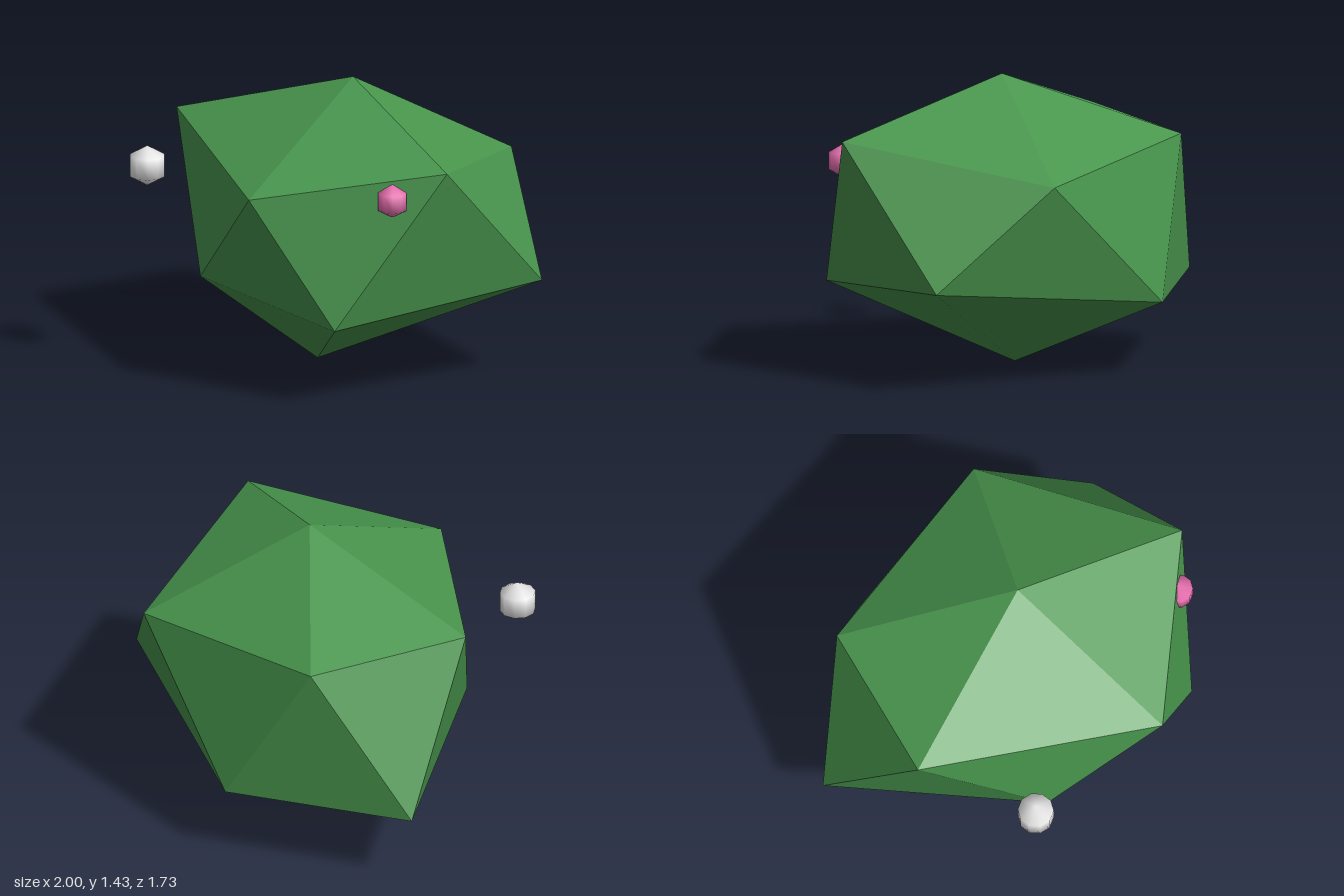
import * as THREE from 'three';

// Closed faceted body: top point, upper ring, lower ring, bottom point
function facetedBody(top, upper, lower, bottom) {
  const pos = [];
  const n = upper.length;
  for (let i = 0; i < n; i++) {
    const j = (i + 1) % n;
    pos.push(...top, ...upper[i], ...upper[j]);
    pos.push(...upper[i], ...lower[i], ...upper[j]);
    pos.push(...upper[j], ...lower[i], ...lower[j]);
    pos.push(...bottom, ...lower[j], ...lower[i]);
  }
  const g = new THREE.BufferGeometry();
  g.setAttribute('position', new THREE.Float32BufferAttribute(pos, 3));
  g.computeVertexNormals();
  return g;
}

export function createModel() {
  const group = new THREE.Group();
  group.name = 'bush';

  const leafGreen = new THREE.MeshStandardMaterial({ color: 0x48954d, flatShading: true });
  leafGreen.name = 'leaf green';
  const white = new THREE.MeshStandardMaterial({ color: 0xe8e8e8 });
  white.name = 'blossom white';
  const pink = new THREE.MeshStandardMaterial({ color: 0xe86fb0 });
  pink.name = 'blossom pink';

  // Foliage: an uneven twenty-sided lump
  const foliage = new THREE.Mesh(facetedBody(
    [0.12, 1.43, -0.10],
    [[-0.73, 1.15, 0.32], [0.40, 1.03, 0.74], [1.00, 1.17, 0.00], [0.37, 1.00, -0.865], [-0.67, 1.11, -0.48]],
    [[-0.17, 0.485, 0.60], [0.74, 0.405, 0.48], [0.91, 0.50, -0.64], [-0.34, 0.36, -0.775], [-1.00, 0.375, -0.10]],
    [-0.03, 0, 0],
  ), leafGreen);
  foliage.name = 'foliage';
  group.add(foliage);

  // Blossoms: small coarse balls
  const addBlossom = (name, material, radius, x, y, z) => {
    const ball = new THREE.Mesh(new THREE.SphereGeometry(radius, 10, 3), material);
    ball.name = name;
    ball.position.set(x, y, z);
    group.add(ball);
  };
  addBlossom('whiteBlossom', white, 0.1, -0.355, 1.03, 0.78);
  addBlossom('pinkBlossom', pink, 0.083, 0.84, 1.035, 0.208);

  return group;
}
